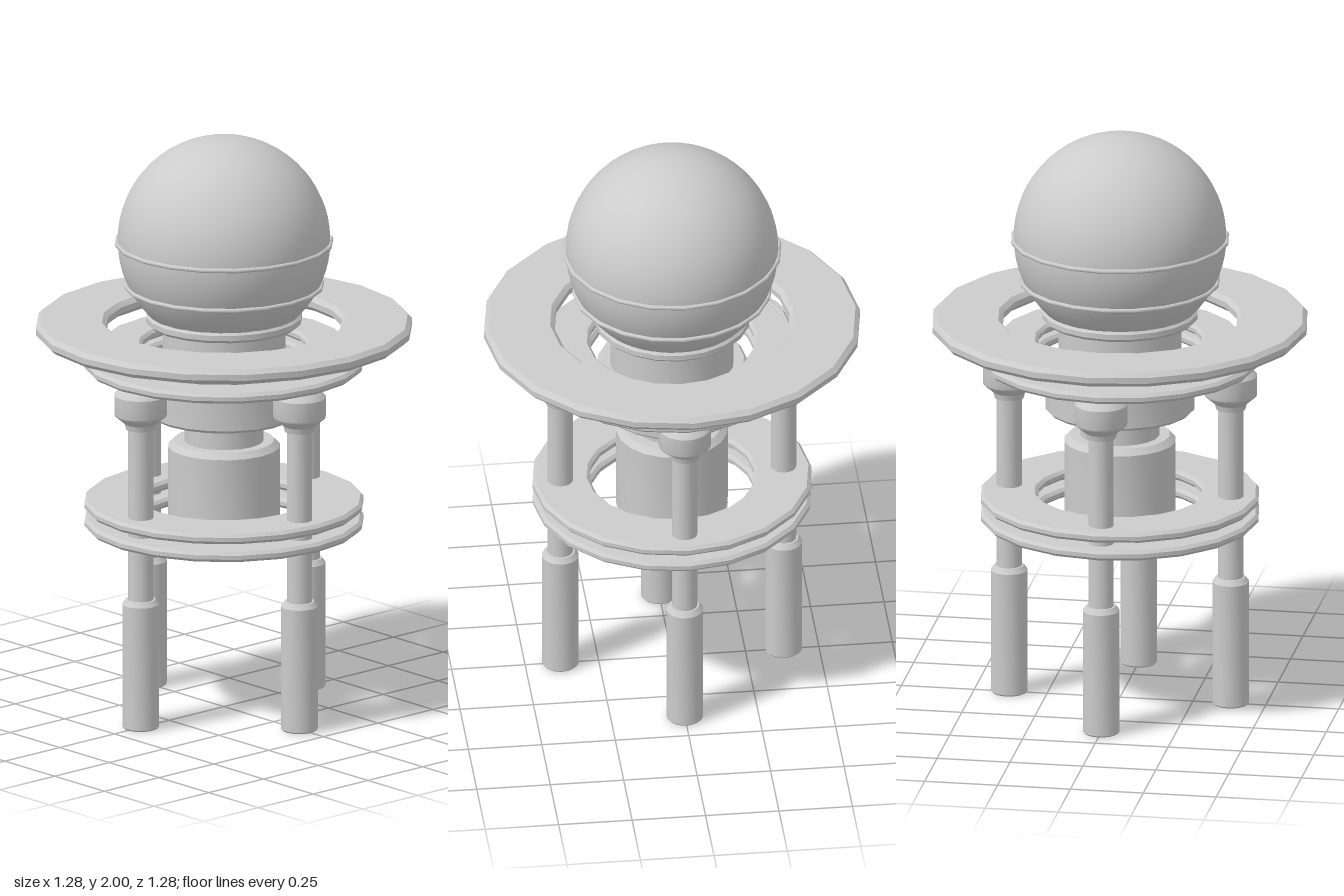
import * as THREE from 'three';
import { toCreasedNormals } from 'three/addons/utils/BufferGeometryUtils.js';

const material = new THREE.MeshStandardMaterial({ color: 0xcccccc });

// Turned part from [radius, height] points, listed bottom to top
function turned(name, profile, sides = 20) {
  const points = profile.map(([r, y]) => new THREE.Vector2(r, y));
  const geometry = toCreasedNormals(new THREE.LatheGeometry(points, sides), 0.6);
  const mesh = new THREE.Mesh(geometry, material);
  mesh.name = name;
  return mesh;
}

// Flat annular plate with softened rims
function plate(name, inner, outer, y0, y1) {
  const c = (y1 - y0) * 0.3;
  return turned(name, [
    [inner + c, y0], [outer - c, y0], [outer, y0 + c], [outer, y1 - c],
    [outer - c, y1], [inner + c, y1], [inner, y1 - c], [inner, y0 + c], [inner + c, y0],
  ]);
}

// Thin raised hoop around the globe
function hoop(name, radius, y) {
  const mesh = new THREE.Mesh(new THREE.TorusGeometry(radius, 0.008, 8, 20), material);
  mesh.rotation.x = Math.PI / 2;
  mesh.position.y = y;
  mesh.name = name;
  return mesh;
}

export function createModel() {
  const model = new THREE.Group();
  model.name = 'globeStation';

  // Globe and its bands
  const globe = new THREE.Mesh(new THREE.SphereGeometry(0.36, 48, 32), material);
  globe.position.y = 1.64;
  globe.scale.setScalar(1);
  globe.name = 'globe';
  model.add(globe, hoop('equatorBand', 0.364, 1.635), hoop('lowerBand', 0.332, 1.485));

  // Central column
  model.add(
    turned('globeCollar', [[0, 1.35], [0.255, 1.35], [0.265, 1.36], [0.265, 1.378], [0.255, 1.388], [0, 1.388]]),
    turned('upperNeck', [[0, 1.18], [0.21, 1.18], [0.21, 1.36], [0, 1.36]]),
    turned('drum', [[0, 1.03], [0.245, 1.03], [0.255, 1.04], [0.255, 1.18], [0.245, 1.19], [0, 1.19]]),
    turned('lowerNeck', [[0, 0.93], [0.135, 0.93], [0.135, 1.04], [0, 1.04]]),
    turned('core', [[0, 0.62], [0.18, 0.62], [0.19, 0.63], [0.19, 0.92], [0.17, 0.94], [0, 0.94]]),
    turned('coreCap', [[0, 0.545], [0.09, 0.545], [0.185, 0.592], [0.19, 0.605], [0.165, 0.625], [0, 0.625]]),
  );

  // Ring plates
  model.add(
    plate('wideRing', 0.40, 0.64, 1.312, 1.362),
    plate('smallRing', 0.28, 0.42, 1.248, 1.282),
    plate('supportRing', 0.28, 0.475, 1.197, 1.232),
    plate('upperBraceRing', 0.28, 0.475, 0.703, 0.738),
    plate('lowerBraceRing', 0.28, 0.475, 0.64, 0.675),
  );

  // Four legs, each with a foot sleeve, rod and cup
  for (let i = 0; i < 4; i++) {
    const leg = new THREE.Group();
    leg.name = `leg${i + 1}`;
    leg.add(
      turned('footSleeve', [[0, 0], [0.058, 0], [0.0625, 0.005], [0.0625, 0.435], [0.05, 0.452], [0, 0.452]]),
      turned('rod', [[0, 0.44], [0.043, 0.44], [0.043, 1.08], [0, 1.08]]),
      turned('cup', [[0, 1.05], [0.05, 1.05], [0.055, 1.07], [0.088, 1.098], [0.09, 1.105],
        [0.09, 1.17], [0.075, 1.19], [0.06, 1.2], [0, 1.2]]),
    );
    const angle = (i * Math.PI) / 2;
    leg.position.set(0.38 * Math.sin(angle), 0, 0.38 * Math.cos(angle));
    model.add(leg);
  }

  return model;
}
